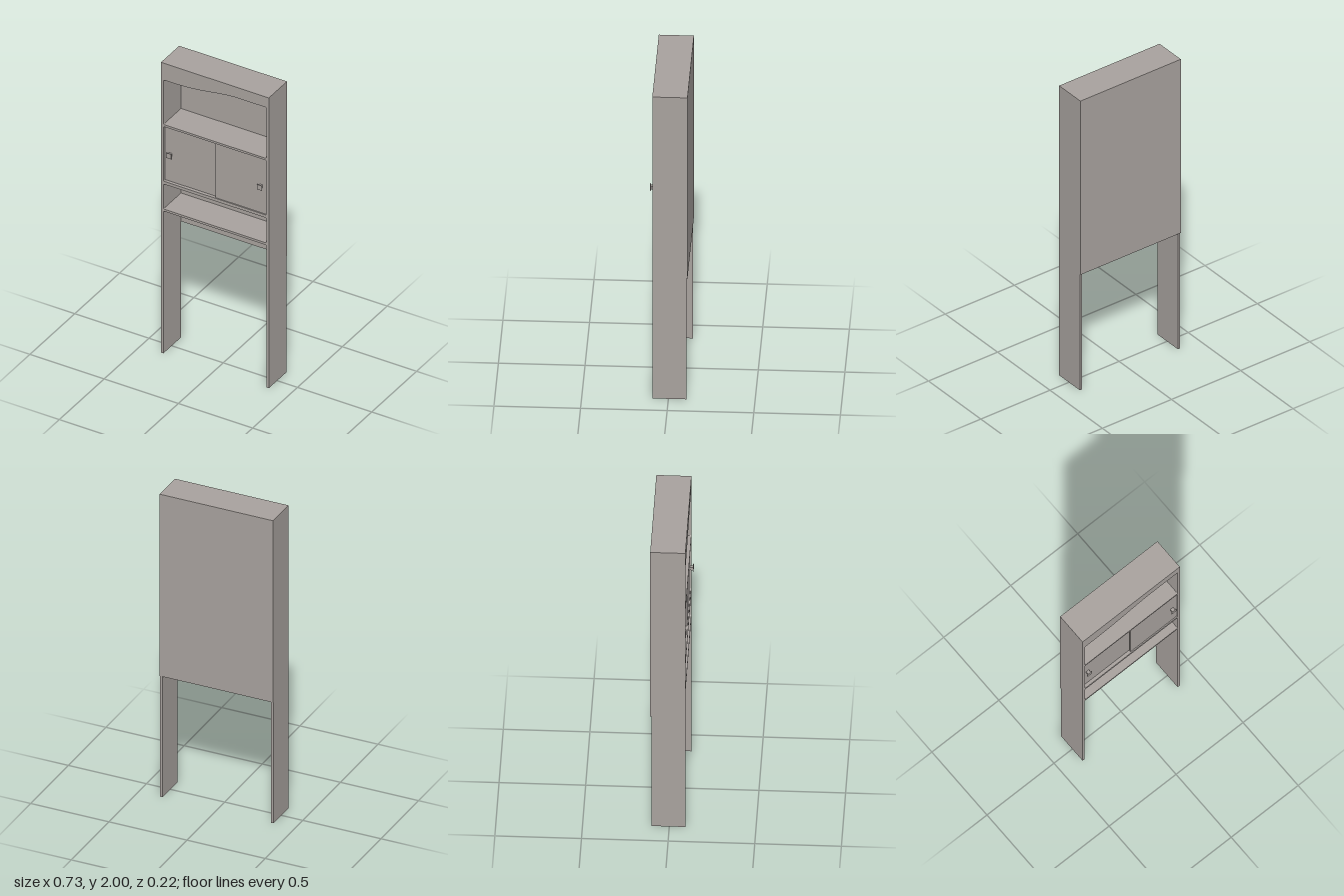
import * as THREE from 'three';

const W = 0.363, T = 0.016, INNER = W - T;   // half width, board thickness, inner half width
const FRONT = 0.093, BACK = -0.104;          // depth range of the boards
const FACE = 0.012;                          // thickness of the front frame

// Rounded rectangular opening
function opening(x0, y0, x1, y1, r = 0.008) {
  const p = new THREE.Path();
  p.moveTo(x0 + r, y0);
  p.lineTo(x1 - r, y0);
  p.quadraticCurveTo(x1, y0, x1, y0 + r);
  p.lineTo(x1, y1 - r);
  p.quadraticCurveTo(x1, y1, x1 - r, y1);
  p.lineTo(x0 + r, y1);
  p.quadraticCurveTo(x0, y1, x0, y1 - r);
  p.lineTo(x0, y0 + r);
  p.quadraticCurveTo(x0, y0, x0 + r, y0);
  return p;
}

export function createModel() {
  const model = new THREE.Group();
  model.name = 'tallCabinet';
  const paint = new THREE.MeshStandardMaterial({ color: 0xa8a29e });
  paint.name = 'warmGrey';

  // Box given by its limits on each axis
  function board(name, x0, x1, y0, y1, z0, z1, parent = model) {
    const mesh = new THREE.Mesh(new THREE.BoxGeometry(x1 - x0, y1 - y0, z1 - z0), paint);
    mesh.position.set((x0 + x1) / 2, (y0 + y1) / 2, (z0 + z1) / 2);
    mesh.name = name;
    parent.add(mesh);
  }

  // Side boards that run down into legs
  board('rightSide', -W, -INNER, 0, 2, BACK, FRONT);
  board('leftSide', INNER, W, 0, 2, BACK, FRONT);

  // Back, top and shelves
  board('backPanel', -W, W, 0.8, 2, -0.11, BACK);
  board('top', -INNER, INNER, 2 - T, 2, BACK, FRONT - FACE);
  for (const [name, y0, y1] of [
    ['upperShelf', 1.563, 1.577], ['middleShelf', 1.167, 1.187], ['lowerShelf', 0.98, 0.995],
  ]) board(name, -INNER, INNER, y0, y1, BACK, FRONT - FACE);

  // Front frame: wavy top rail, shelf edges and rounded openings
  const frame = new THREE.Shape();
  frame.moveTo(-INNER, 0.972);
  frame.quadraticCurveTo(-INNER, 0.98, -INNER + 0.008, 0.98);
  frame.lineTo(INNER - 0.008, 0.98);
  frame.quadraticCurveTo(INNER, 0.98, INNER, 0.972);
  frame.lineTo(INNER, 2);
  frame.lineTo(-INNER, 2);
  frame.closePath();

  const e = INNER - 0.001;
  const niche = new THREE.Path();
  niche.moveTo(-e + 0.008, 1.577);
  niche.lineTo(e - 0.008, 1.577);
  niche.quadraticCurveTo(e, 1.577, e, 1.585);
  niche.lineTo(e, 1.92);
  niche.quadraticCurveTo(e, 1.928, e - 0.008, 1.928);
  niche.lineTo(0.16, 1.928);
  niche.bezierCurveTo(0.03, 1.928, -0.09, 1.884, -0.27, 1.884);
  niche.lineTo(-e + 0.008, 1.884);
  niche.quadraticCurveTo(-e, 1.884, -e, 1.876);
  niche.lineTo(-e, 1.585);
  niche.quadraticCurveTo(-e, 1.577, -e + 0.008, 1.577);
  frame.holes.push(niche, opening(-e, 1.187, e, 1.563), opening(-e, 0.995, e, 1.167));

  const frameMesh = new THREE.Mesh(
    new THREE.ExtrudeGeometry(frame, { depth: FACE, bevelEnabled: false, curveSegments: 12 }), paint);
  frameMesh.position.z = FRONT - FACE;
  frameMesh.name = 'frontFrame';
  model.add(frameMesh);

  // Two sliding doors on separate tracks, each with a square knob
  for (const [name, x0, x1, face, knobX] of [
    ['rightDoor', -INNER, 0.02, 0.073, -0.31], ['leftDoor', 0, INNER, 0.086, 0.308],
  ]) {
    const door = new THREE.Group();
    door.name = name;
    board('doorPanel', x0, x1, 1.187, 1.563, face - 0.01, face, door);
    board('knobStem', knobX - 0.01, knobX + 0.01, 1.362, 1.382, face, face + 0.018, door);
    board('knobPlate', knobX - 0.017, knobX + 0.017, 1.355, 1.389, face + 0.018, face + 0.022, door);
    model.add(door);
  }
  return model;
}
